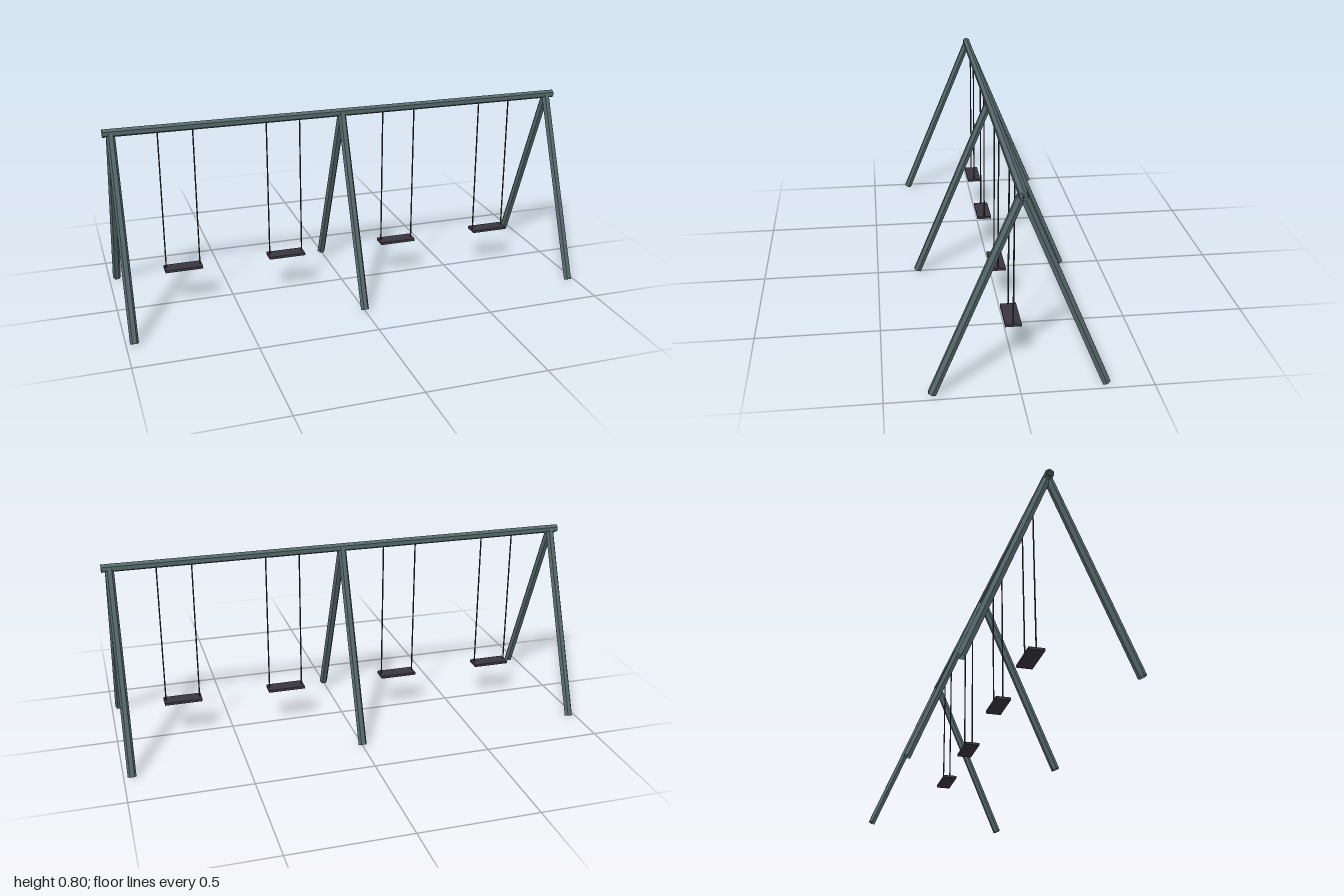
import * as THREE from 'three';

const metal = new THREE.MeshStandardMaterial({ name: 'painted steel', color: 0x55686a, flatShading: true, side: THREE.DoubleSide });
const rubber = new THREE.MeshStandardMaterial({ name: 'dark rubber', color: 0x3a363f, flatShading: true });

const TUBE_R = 0.0175;
const BEAM_Y = 0.784;
const SEAT_Y = 0.1625;

// open six-sided pipe between two points, with corners facing +x and -x before it is turned
function pipe(name, from, to) {
  const dir = to.clone().sub(from);
  const geo = new THREE.CylinderGeometry(TUBE_R, TUBE_R, dir.length(), 6, 1, true).rotateY(Math.PI / 2);
  const mesh = new THREE.Mesh(geo, metal);
  mesh.name = name;
  mesh.position.copy(from).add(to).multiplyScalar(0.5);
  mesh.quaternion.setFromUnitVectors(new THREE.Vector3(0, 1, 0), dir.normalize());
  return mesh;
}

// flat seat hung from two thin ropes
function swing(x) {
  const group = new THREE.Group();
  group.name = 'swing';
  const seat = new THREE.Mesh(new THREE.BoxGeometry(0.16, 0.011, 0.063), rubber);
  seat.name = 'seat';
  seat.position.y = SEAT_Y;
  group.add(seat);
  for (const side of [-1, 1]) {
    const rope = new THREE.Mesh(new THREE.CylinderGeometry(0.003, 0.003, BEAM_Y - SEAT_Y, 6), rubber);
    rope.name = side > 0 ? 'leftRope' : 'rightRope';
    rope.position.set(side * 0.072, (BEAM_Y + SEAT_Y) / 2, 0);
    group.add(rope);
  }
  group.position.x = x;
  return group;
}

export function createModel() {
  const model = new THREE.Group();
  model.name = 'swingSet';

  // top beam
  model.add(pipe('topBeam', new THREE.Vector3(-1, BEAM_Y, 0), new THREE.Vector3(1, BEAM_Y, 0)));

  // three A-shaped supports
  for (const x of [-0.967, 0, 0.967]) {
    const frame = new THREE.Group();
    frame.name = 'support';
    for (const side of [-1, 1]) {
      frame.add(pipe(side > 0 ? 'frontLeg' : 'backLeg',
        new THREE.Vector3(x, 0.006, side * 0.323), new THREE.Vector3(x, BEAM_Y, 0)));
    }
    model.add(frame);
  }

  // two swings in each bay
  for (const x of [-0.71, -0.258, 0.258, 0.71]) model.add(swing(x));

  return model;
}
